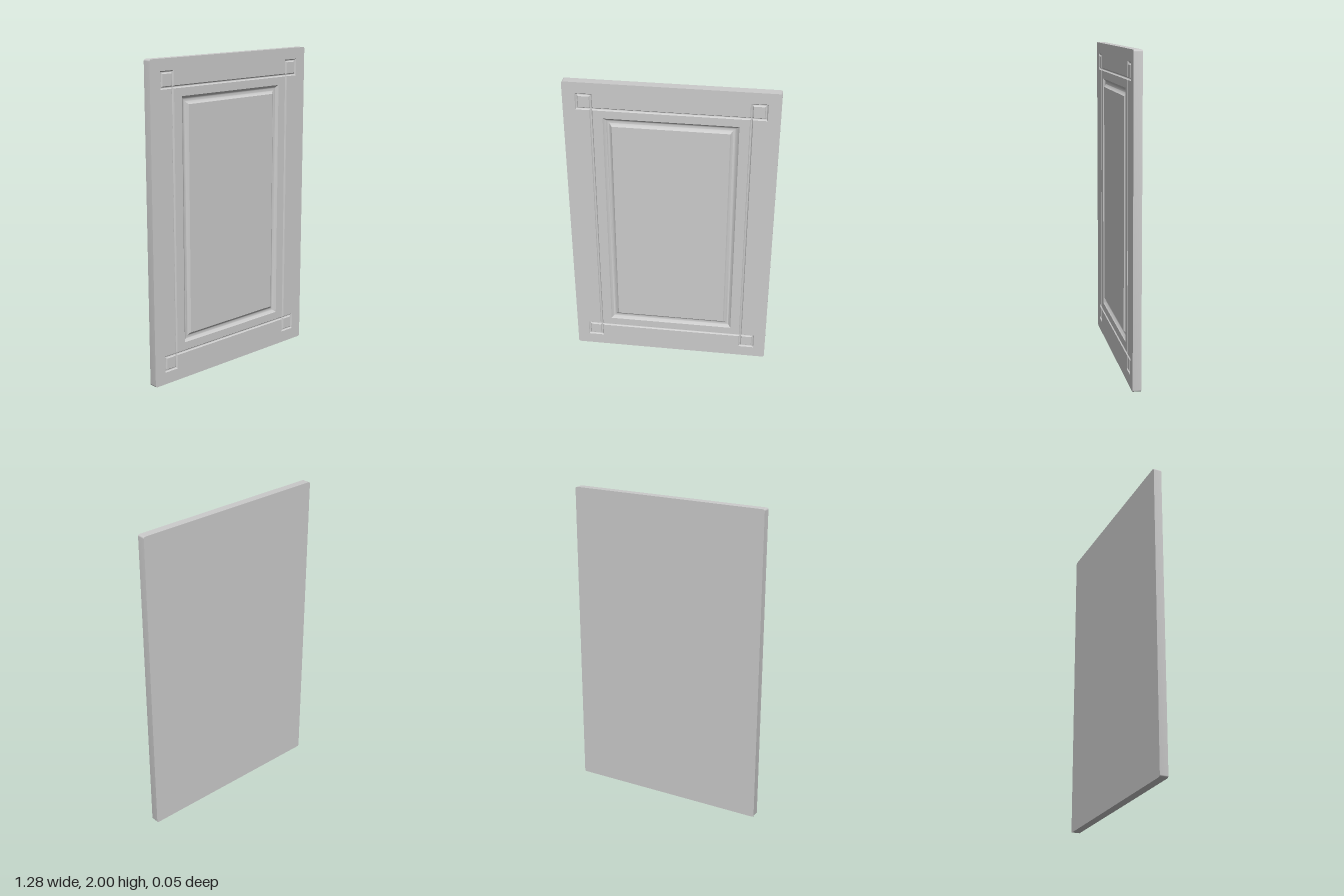
import * as THREE from 'three';
import { toCreasedNormals } from 'three/addons/utils/BufferGeometryUtils.js';

const W = 0.642, H = 1, Z = 0.026;            // half width, half height, half thickness
const A = 0.473, B = 0.828, C = 0.557, D = 0.917; // centrelines of the thin grooves
const G = 0.009, G_DEPTH = 0.009;             // thin groove: half width, depth
const COVE = 0.026, COVE_DEPTH = 0.017;       // wide cove: half width, depth
const OFF_Y = 0.003;                          // pattern sits a hair above centre

const material = new THREE.MeshStandardMaterial({ color: 0xcccccc });

// Counter-clockwise loops, seen from the front
const rect = (x0, y0, x1, y1) =>
  [[x0, y0], [x1, y0], [x1, y1], [x0, y1]].map(([x, y]) => new THREE.Vector2(x, y + OFF_Y));

function roundedRect(w, h, r, n = 5) {
  const pts = [];
  [[1, -1], [1, 1], [-1, 1], [-1, -1]].forEach(([sx, sy], q) => {
    for (let i = 0; i <= n; i++) {
      const t = (q - 1 + i / n) * Math.PI / 2;
      pts.push(new THREE.Vector2(sx * (w - r) + r * Math.cos(t), sy * (h - r) + r * Math.sin(t)));
    }
  });
  return pts;
}

// Outer border of the groove network, h outside its centrelines
function networkOutline(h) {
  const quarter = [[A + h, B - h], [C + h, B - h], [C + h, D + h], [A - h, D + h], [A - h, B + h]];
  const pts = [];
  [[1, 1], [-1, 1], [-1, -1], [1, -1]].forEach(([sx, sy]) => {
    const q = sx * sy > 0 ? quarter : [...quarter].reverse();
    q.forEach(([x, y]) => pts.push(new THREE.Vector2(sx * x, sy * y + OFF_Y)));
  });
  return pts;
}

// Surface through successive loops, from outer (or back) to inner (or front)
function loft(loops) {
  const pos = [];
  for (let k = 0; k < loops.length - 1; k++) {
    const [a, b] = [loops[k], loops[k + 1]];
    const n = a.pts.length;
    for (let i = 0; i < n; i++) {
      const j = (i + 1) % n;
      for (const [l, m] of [[a, i], [a, j], [b, j], [a, i], [b, j], [b, i]])
        pos.push(l.pts[m].x, l.pts[m].y, l.z);
    }
  }
  const geo = new THREE.BufferGeometry();
  geo.setAttribute('position', new THREE.Float32BufferAttribute(pos, 3));
  return toCreasedNormals(geo, 0.6);
}

// Rounded groove section: u runs across it, with -1 and 1 at the rims
function groove(loopAt, u0, u1, depth, steps) {
  const loops = [];
  for (let i = 0; i <= steps; i++) {
    const u = u0 + (u1 - u0) * i / steps;
    loops.push({ pts: loopAt(u), z: Z - depth * (1 - u * u) });
  }
  return loft(loops);
}

function flat(outer, hole) {
  const shape = new THREE.Shape(outer);
  if (hole) shape.holes.push(new THREE.Path(hole));
  return new THREE.ShapeGeometry(shape);
}

export function createModel() {
  const model = new THREE.Group();
  model.name = 'panelDoor';
  const add = (name, geo, z = 0) => {
    const mesh = new THREE.Mesh(geo, material);
    mesh.name = name;
    mesh.position.z = z;
    model.add(mesh);
    return mesh;
  };

  // Slab edges and back
  const border = roundedRect(W, H, 0.012);
  add('slabEdge', loft([{ pts: border, z: -Z }, { pts: border, z: Z }]));
  add('slabBack', flat(border), -Z).rotation.y = Math.PI;

  // Outer frame and the outside half of the thin groove
  add('outerFrame', flat(border, networkOutline(G)), Z);
  add('grooveOutside', groove(u => networkOutline(-u * G), -1, 0, G_DEPTH, 6));

  // Corner squares with the inside half of the groove round each
  for (const sx of [-1, 1]) for (const sy of [-1, 1]) {
    const corner = h => {
      const mx = sx * (A + C) / 2, my = sy * (B + D) / 2;
      const w = (C - A) / 2 - h, t = (D - B) / 2 - h;
      return rect(mx - w, my - t, mx + w, my + t);
    };
    add('cornerSquare', flat(corner(G)), Z);
    add('cornerGroove', groove(u => corner(u * G), 0, 1, G_DEPTH, 6));
  }

  // Inner frame between the thin groove and the cove
  const inner = h => rect(-A + h, -B + h, A - h, B - h);
  const cove = u => {
    const x = 0.379 - u * COVE, y = 0.743 - u * COVE;
    return rect(-x, -y, x, y);
  };
  add('innerGroove', groove(u => inner(u * G), 0, 1, G_DEPTH, 6));
  add('innerFrame', flat(inner(G), cove(-1)), Z);

  // Cove and centre panel
  add('panelCove', groove(cove, -1, 1, COVE_DEPTH, 14));
  add('centrePanel', flat(cove(1)), Z);

  model.position.y = H;
  const root = new THREE.Group();
  root.name = 'cabinetDoor';
  root.add(model);
  return root;
}
